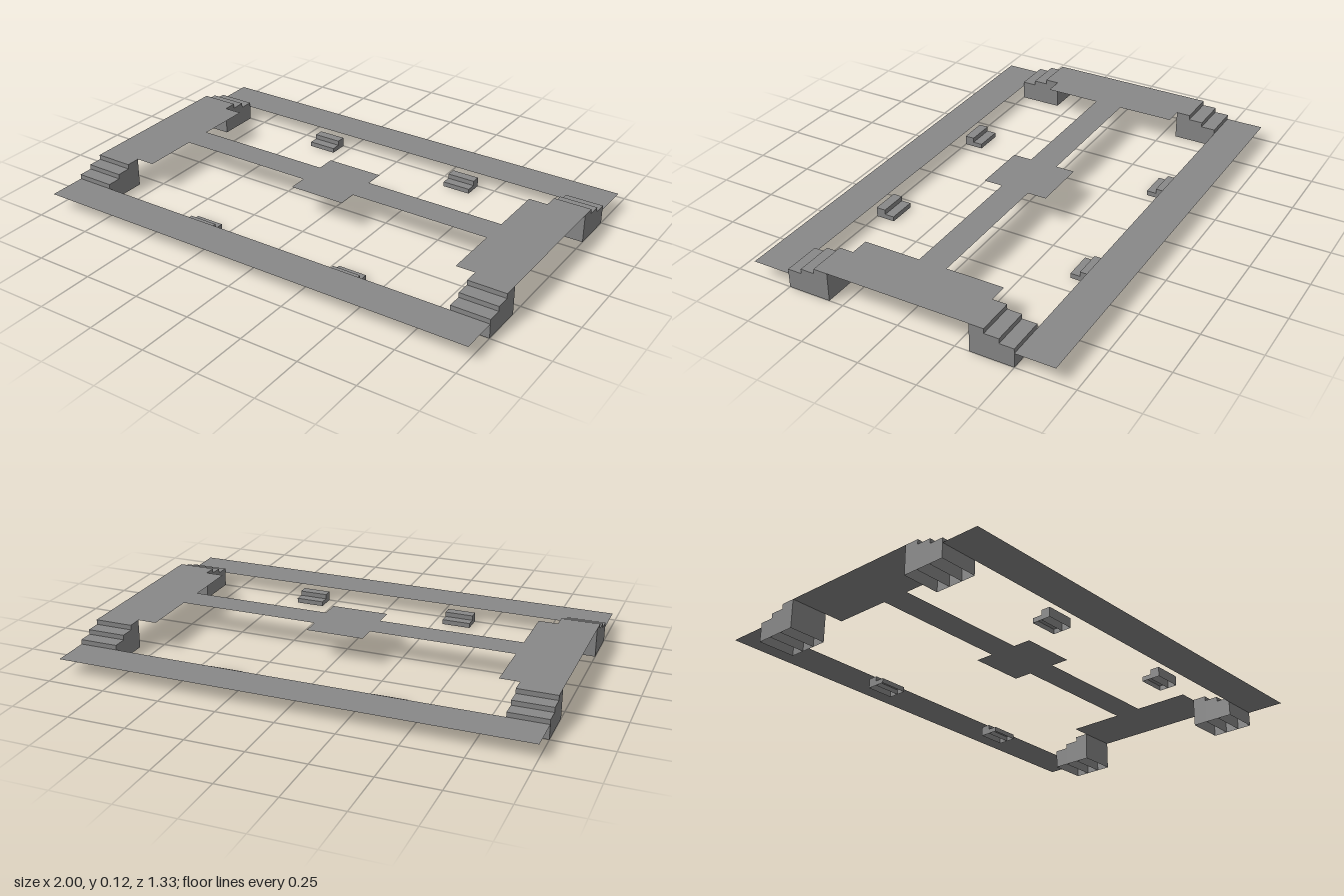
import * as THREE from 'three';

const concrete = new THREE.MeshStandardMaterial({ color: 0x888888, side: THREE.DoubleSide });
concrete.name = 'grey concrete';

// Box without a floor, spanning x0..x1 and z0..z1, rising from the ground to h
function openBox(x0, x1, z0, z1, h) {
  const g = new THREE.BoxGeometry(x1 - x0, h, z1 - z0);
  const index = Array.from(g.index.array);
  index.splice(18, 6); // bottom face
  g.setIndex(index);
  g.clearGroups();
  g.translate((x0 + x1) / 2, h / 2, (z0 + z1) / 2);
  return g;
}

// Flat sheet from an outline in x and z
function sheet(points, y, name) {
  const shape = new THREE.Shape(points.map(([x, z]) => new THREE.Vector2(x, z)));
  const g = new THREE.ShapeGeometry(shape);
  g.rotateX(-Math.PI / 2);
  g.translate(0, y, 0);
  const mesh = new THREE.Mesh(g, concrete);
  mesh.name = name;
  return mesh;
}

export function createModel() {
  const model = new THREE.Group();
  model.name = 'walkways';

  // Upper deck: two end platforms joined by a bridge with a wider centre
  const quarter = [[1, 0.3125], [0.75, 0.3125], [0.75, 0.0625], [0.125, 0.0625], [0.125, 0.146]];
  const upper = [...quarter, ...quarter.map(([x, z]) => [-x, z]).reverse()];
  const lower = upper.map(([x, z]) => [x, -z]).reverse();
  model.add(sheet([...upper, ...lower], 0.125, 'upperDeck'));

  // Lower ledges along the front and back
  for (const s of [1, -1]) {
    const a = s > 0 ? 0.5 : -0.667;
    const b = s > 0 ? 0.667 : -0.5;
    // the sheet's outline is mirrored in z when laid flat
    model.add(sheet([[-1, -b], [1, -b], [1, -a], [-1, -a]], 0.0625, s > 0 ? 'frontLedge' : 'backLedge'));
  }

  // Stairs: [inner z, outer z, height] for each step
  const cornerSteps = [[0.3125, 0.375, 0.125], [0.375, 0.4375, 0.104], [0.4375, 0.5, 0.083]];
  const smallSteps = [[0.4167, 0.4583, 0.021], [0.4583, 0.5, 0.042]];
  const addStairs = (name, xIn, xOut, steps) => {
    for (const sx of [1, -1]) for (const sz of [1, -1]) {
      const stairs = new THREE.Group();
      stairs.name = name;
      for (const [z0, z1, h] of steps) {
        const xs = [sx * xIn, sx * xOut].sort((a, b) => a - b);
        const zs = [sz * z0, sz * z1].sort((a, b) => a - b);
        const step = new THREE.Mesh(openBox(...xs, ...zs, h), concrete);
        step.name = 'step';
        stairs.add(step);
      }
      model.add(stairs);
    }
  };
  addStairs('cornerStairs', 0.8333, 1, cornerSteps);
  addStairs('smallStairs', 0.2917, 0.4167, smallSteps);

  return model;
}
